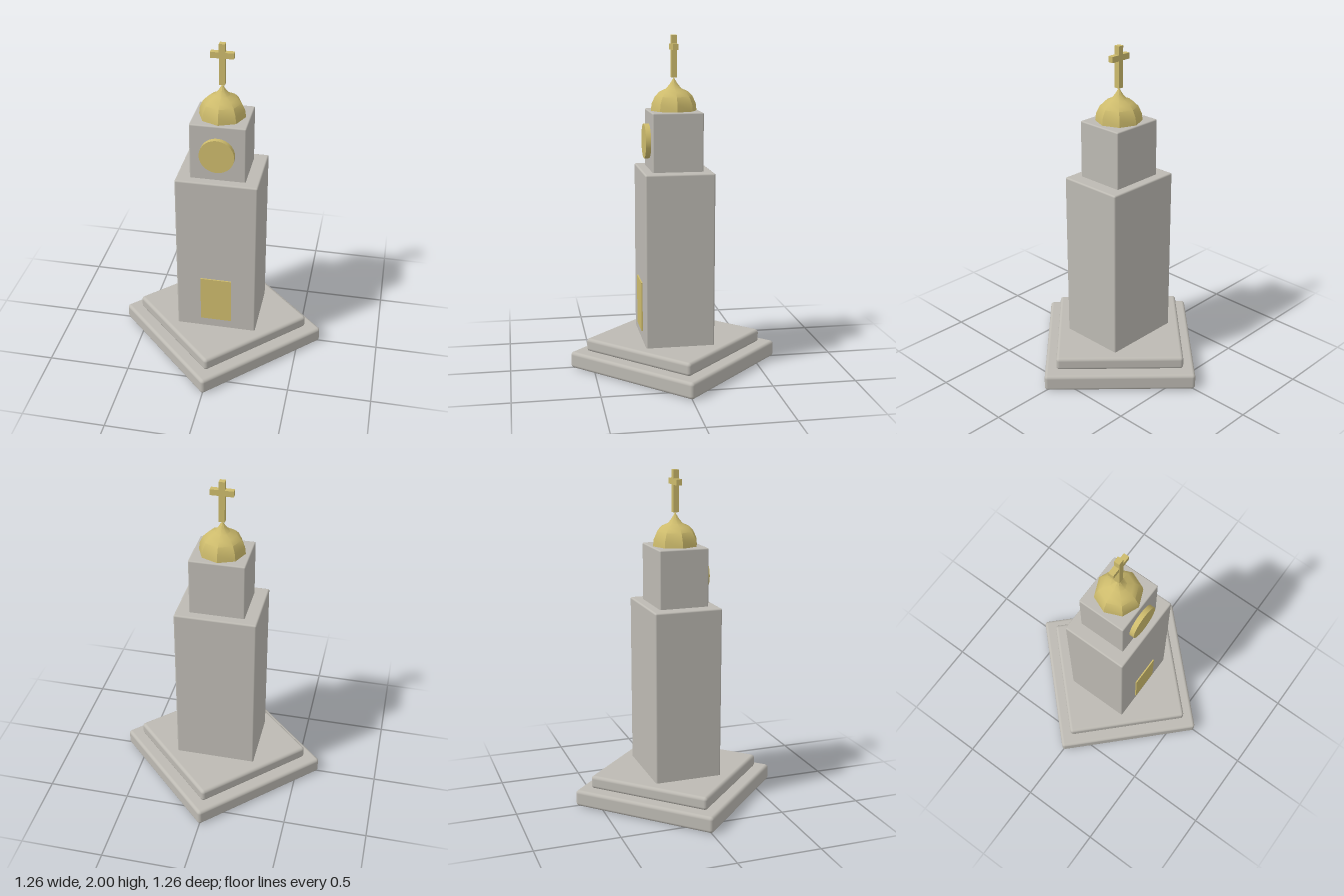
import * as THREE from 'three';
import { toCreasedNormals } from 'three/addons/utils/BufferGeometryUtils.js';
import { RoundedBoxGeometry } from 'three/addons/geometries/RoundedBoxGeometry.js';

export function createModel() {
  const stone = new THREE.MeshStandardMaterial({ color: 0xbdbab3 });
  stone.name = 'stone';
  const gold = new THREE.MeshStandardMaterial({ color: 0xcdbb6c });
  gold.name = 'gold';
  const model = new THREE.Group();
  model.name = 'clockTower';

  function add(name, geometry, material, x, y, z, parent = model) {
    const mesh = new THREE.Mesh(geometry, material);
    mesh.name = name;
    mesh.position.set(x, y, z);
    parent.add(mesh);
    return mesh;
  }

  // Rounded stone block standing between two heights
  function block(name, width, depth, y0, y1, radius) {
    const geometry = new RoundedBoxGeometry(width, y1 - y0, depth, 3, radius);
    return add(name, geometry, stone, 0, (y0 + y1) / 2, 0);
  }

  // Two plinth steps, turned to a diamond
  block('lowerStep', 0.906, 0.906, 0, 0.1, 0.02).rotation.y = Math.PI / 4;
  block('upperStep', 0.768, 0.768, 0.1, 0.18, 0.02).rotation.y = Math.PI / 4;

  // Tower shaft and belfry
  block('shaft', 0.49, 0.41, 0.17, 1.215, 0.01);
  block('belfry', 0.33, 0.3, 1.2, 1.56, 0.008);

  // Door and clock on the front
  add('door', new THREE.BoxGeometry(0.19, 0.3, 0.009), gold, 0, 0.39, 0.2085);
  const clock = new THREE.CylinderGeometry(0.103, 0.103, 0.035, 40);
  add('clockFace', clock, gold, 0, 1.382, 0.1625).rotation.x = Math.PI / 2;

  // Eight-sided onion dome
  const profile = [
    [0, 1.56], [0.137, 1.56], [0.132, 1.602], [0.112, 1.645],
    [0.085, 1.672], [0.045, 1.69], [0.022, 1.718], [0, 1.755],
  ].map(([r, y]) => new THREE.Vector2(r, y));
  add('dome', toCreasedNormals(new THREE.LatheGeometry(profile, 8), 0.65), gold, 0, 0, 0);

  // Cross
  const cross = new THREE.Group();
  cross.name = 'cross';
  model.add(cross);
  add('crossPost', new THREE.BoxGeometry(0.035, 0.245, 0.034), gold, 0, 1.8775, 0, cross);
  add('crossBar', new THREE.BoxGeometry(0.136, 0.035, 0.033), gold, 0, 1.932, 0, cross);

  return model;
}
